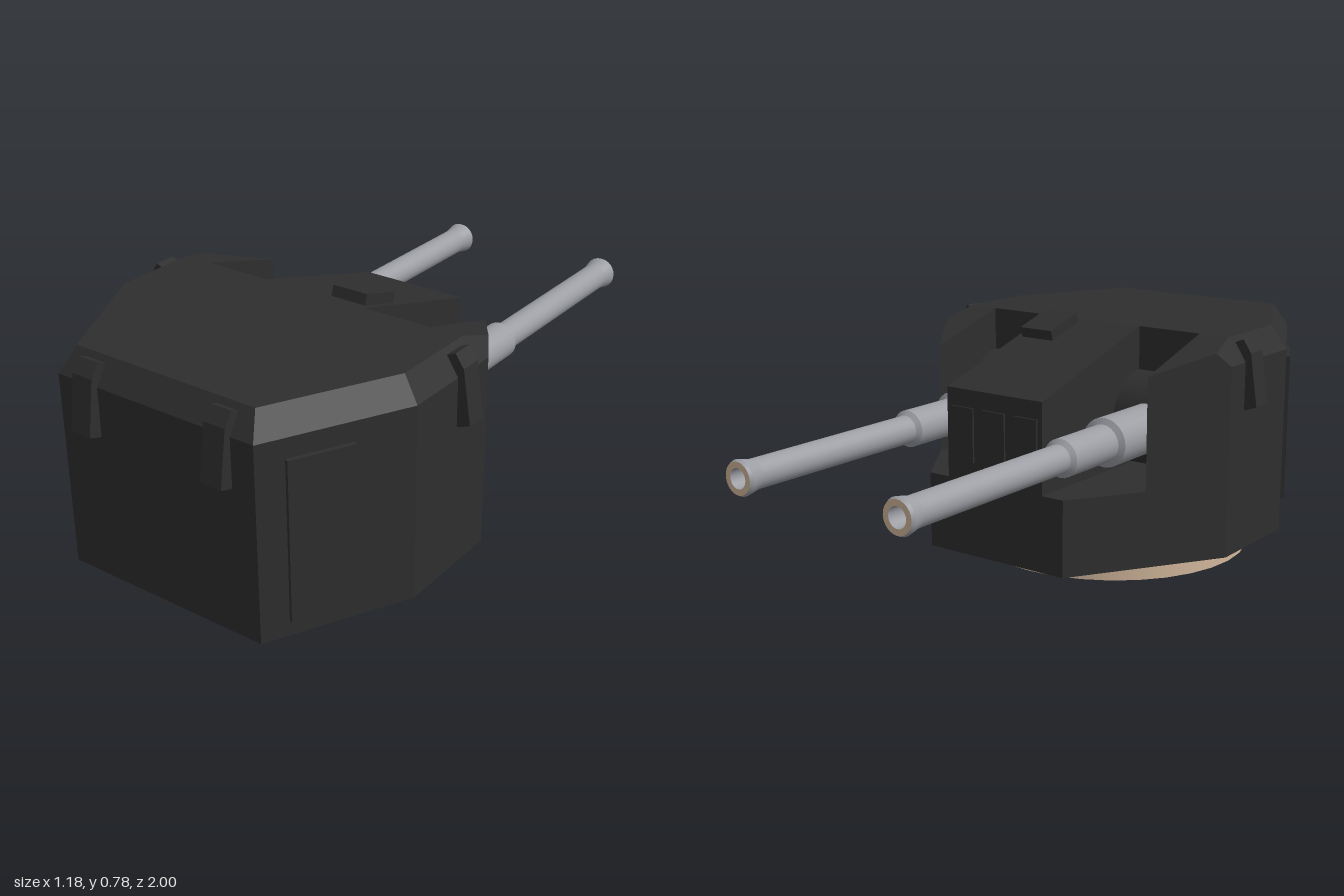
import * as THREE from 'three';
import { ConvexGeometry } from 'three/addons/geometries/ConvexGeometry.js';

const mat = (name, color, side = THREE.FrontSide) => {
  const m = new THREE.MeshStandardMaterial({ color, side });
  m.name = name;
  return m;
};

// Plane as [nx, ny, nz, d]; the solid lies where n.p <= d
const wallPlane = (x0, z0, x1, z1) => {
  const l = Math.hypot(x1 - x0, z1 - z0);
  const nx = (z1 - z0) / l, nz = -(x1 - x0) / l;
  return [nx, 0, nz, nx * x0 + nz * z0];
};

// Convex solid bounded by planes: every valid three-plane corner
function convex(planes) {
  const pts = [];
  const N = planes.map(p => new THREE.Vector3(p[0], p[1], p[2]));
  for (let i = 0; i < planes.length; i++)
    for (let j = i + 1; j < planes.length; j++)
      for (let k = j + 1; k < planes.length; k++) {
        const jk = N[j].clone().cross(N[k]);
        const det = N[i].dot(jk);
        if (Math.abs(det) < 1e-6) continue;
        const p = jk.multiplyScalar(planes[i][3])
          .add(N[k].clone().cross(N[i]).multiplyScalar(planes[j][3]))
          .add(N[i].clone().cross(N[j]).multiplyScalar(planes[k][3]))
          .divideScalar(det);
        if (planes.every((q, n) => N[n].dot(p) <= q[3] + 1e-6) &&
            !pts.some(q => q.distanceTo(p) < 1e-4)) pts.push(p);
      }
  return new ConvexGeometry(pts);
}

export function createModel() {
  const group = new THREE.Group();
  const armour = mat('dark armour', 0x2e2e2e);
  const steel = mat('gun steel', 0x9c9ea4, THREE.DoubleSide);
  const tan = mat('tan metal', 0xd2b79c, THREE.DoubleSide);

  const add = (name, geo, material, parent = group) => {
    const m = new THREE.Mesh(geo, material);
    m.name = name;
    parent.add(m);
    return m;
  };

  // Turret shell planes: floor, roof, sloped gun-side roof, walls, roof bevels
  const slope = 0.294, slotBack = 0.265, slotFloor = 0.32, slotIn = 0.18, slotOut = 0.4;
  const bevelled = [
    [0, 0, 1, 0.96], [1, 0, 0, 0.55], [-1, 0, 0, 0.55],
    wallPlane(0.55, 0.55, 0.34, 0.96), wallPlane(-0.34, 0.96, -0.55, 0.55),
  ];
  const shell = [
    [0, -1, 0, -0.08], [0, 1, 0, 0.755], [0, 1, -slope, 0.755 - slope * 0.26],
    [0, 0, -1, 0.25],
    wallPlane(0.255, -0.25, 0.55, 0.2), wallPlane(-0.55, 0.2, -0.255, -0.25),
    ...bevelled,
    ...bevelled.map(([x, , z, d]) => [x, 0.65, z, d + 0.65 * 0.68]),
  ];
  const above = [0, -1, 0, -slotFloor], ahead = [0, 0, 1, slotBack];
  add('lowerHull', convex([...shell, [0, 1, 0, slotFloor]]), armour);
  add('rearHull', convex([...shell, above, [0, 0, -1, -slotBack]]), armour);
  add('centreHull', convex([...shell, above, ahead, [1, 0, 0, slotIn], [-1, 0, 0, slotIn]]), armour);

  // Turntable ring
  const ring = add('baseRing', new THREE.CylinderGeometry(0.46, 0.46, 0.08, 32, 1, true), tan);
  ring.position.set(0, 0.04, 0.38);

  // Strap bracket, profile as (outward from wall, height)
  const strapShape = new THREE.Shape([
    [-0.045, 0.735], [-0.03, 0.66], [-0.005, 0.535], [0.005, 0.532],
    [0.042, 0.545], [0.017, 0.71], [-0.01, 0.75],
  ].map(p => new THREE.Vector2(...p)));
  const strapGeo = new THREE.ExtrudeGeometry(strapShape, { depth: 0.07, bevelEnabled: false });
  strapGeo.translate(0, 0, -0.035);
  const strap = (x, z, turn) => {
    const m = add('strapBracket', strapGeo, armour);
    m.position.set(x, 0, z);
    m.rotation.y = turn;
  };

  // Barrel rings: z start, radius, z end, radius
  const barrel = [
    [0.2, 0.076, -0.09, 0.076], [-0.09, 0.076, -0.1, 0.058],
    [-0.1, 0.058, -0.31, 0.058], [-0.31, 0.058, -0.322, 0.044],
    [-0.322, 0.044, -0.945, 0.044], [-0.945, 0.044, -0.99, 0.053],
    [-0.99, 0.053, -1, 0.048], [-0.9, 0.03, -1, 0.03],
  ];

  for (const s of [1, -1]) {
    const side = s > 0 ? 'left' : 'right';
    add(side + 'Cheek', convex([...shell, above, ahead, [-s, 0, 0, -slotOut]]), armour);

    // Rounded gun shield inside the slot
    const mantlet = add(side + 'Mantlet', new THREE.CylinderGeometry(0.15, 0.15, 0.22, 32), armour);
    mantlet.rotation.z = Math.PI / 2;
    mantlet.position.set(s * 0.29, 0.467, 0.268);

    // Gun
    const gun = new THREE.Group();
    gun.name = side + 'Gun';
    gun.position.set(s * 0.29, 0.467, 0);
    group.add(gun);
    barrel.forEach(([z0, r0, z1, r1], i) => {
      const last = i === barrel.length - 1;
      const part = add(last ? 'bore' : 'barrelSection',
        new THREE.CylinderGeometry(r1, r0, z0 - z1, 24, 1, true), steel, gun);
      part.rotation.x = -Math.PI / 2;
      part.position.z = (z0 + z1) / 2;
    });
    const boreEnd = add('boreEnd', new THREE.CircleGeometry(0.03, 24), steel, gun);
    boreEnd.rotation.y = Math.PI;
    boreEnd.position.z = -0.9;
    const lip = add('muzzleLip', new THREE.RingGeometry(0.03, 0.048, 24), tan, gun);
    lip.rotation.y = Math.PI;
    lip.position.z = -1;

    // Brackets on the rear and side walls
    strap(s * 0.23, 0.96, -Math.PI / 2);
    strap(s * 0.55, 0.32, s > 0 ? 0 : Math.PI);

    // Door on the slanted rear wall
    const door = add(side + 'Door', new THREE.BoxGeometry(0.195, 0.49, 0.018), armour);
    door.position.set(s * 0.427, 0.375, 0.8);
    door.rotation.y = s * Math.atan2(0.41, 0.21);
  }

  // Vision shutters on the gun-side face
  for (const x of [-0.12, 0, 0.12]) {
    const shutter = add('visionShutter', new THREE.BoxGeometry(0.085, 0.17, 0.009), armour);
    shutter.position.set(x, 0.465, -0.252);
  }

  // Sight hood on the sloped roof
  const hood = add('sightHood', new THREE.BoxGeometry(0.12, 0.05, 0.145), armour);
  hood.position.set(0.1, 0.737, 0.168);
  hood.rotation.x = -Math.atan(slope);

  return group;
}
